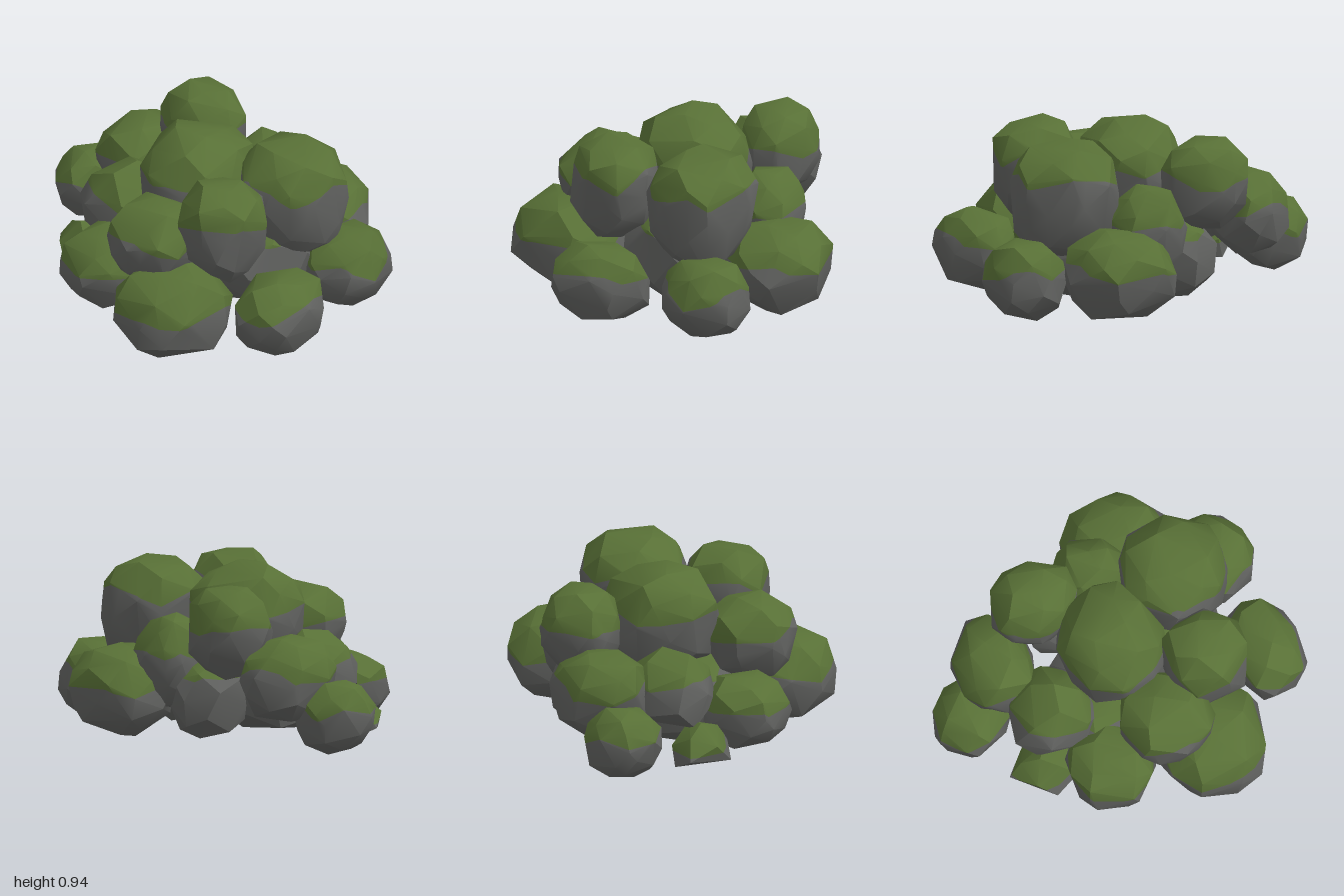
import * as THREE from 'three';
import { toCreasedNormals } from 'three/addons/utils/BufferGeometryUtils.js';
import { ConvexGeometry } from 'three/addons/geometries/ConvexGeometry.js';

const stone = new THREE.MeshStandardMaterial({ color: 0x5f605e });
stone.name = 'stone';
const moss = new THREE.MeshStandardMaterial({ color: 0x587036 });
moss.name = 'moss';

// small seeded random number generator
function seeded(seed) {
  let s = seed * 7919 + 17;
  return () => {
    s = (s * 16807) % 2147483647;
    return s / 2147483647;
  };
}

// jittered points, round in plan and squarer in elevation, that fill the boulder's own box
function hullPoints(min, max, { count, power, taper }, rand) {
  const pts = [];
  const turn = rand() * 6.28;
  for (let i = 0; i < count; i++) {
    const y = 1 - (2 * (i + 0.5)) / count;
    const a = i * 2.39996 + turn + (rand() - 0.5) * 0.5;
    const r = Math.sqrt(1 - y * y);
    const norm = (r ** power + Math.abs(y) ** power) ** (1 / power);
    const p = new THREE.Vector3(r * Math.cos(a), y, r * Math.sin(a));
    p.multiplyScalar((0.95 + rand() * 0.1) / norm);
    p.x *= 1 - taper * p.y;
    p.z *= 1 - taper * p.y;
    pts.push(p);
  }
  const box = new THREE.Box3().setFromPoints(pts);
  const size = box.getSize(new THREE.Vector3());
  const goal = max.clone().sub(min);
  pts.forEach((p) => p.sub(box.min).divide(size).multiply(goal).add(min));
  return pts;
}

// cuts a triangle list along the wavy moss line; keeps one side
function clip(position, height, sign) {
  const out = [];
  for (let i = 0; i < position.count; i += 3) {
    const tri = [0, 1, 2].map((k) => new THREE.Vector3().fromBufferAttribute(position, i + k));
    const side = tri.map((p) => sign * height(p));
    const poly = [];
    for (let k = 0; k < 3; k++) {
      const n = (k + 1) % 3;
      if (side[k] >= 0) poly.push(tri[k]);
      if (side[k] * side[n] < 0) {
        poly.push(tri[k].clone().lerp(tri[n], side[k] / (side[k] - side[n])));
      }
    }
    for (let k = 1; k + 1 < poly.length; k++) {
      for (const p of [poly[0], poly[k], poly[k + 1]]) out.push(p.x, p.y, p.z);
    }
  }
  return out;
}

// one boulder between x0..x1, bottom..top and z0..z1, with moss on its crown
function boulder(name, x0, x1, top, z0, z1, style, seed) {
  const rand = seeded(seed);
  const min = new THREE.Vector3(x0, style.bottom, z0);
  const max = new THREE.Vector3(x1, top, z1);
  const hull = new ConvexGeometry(hullPoints(min, max, style, rand));
  const phase = rand() * 6;
  const height = (p) =>
    p.y - top + style.mossDepth + 0.035 * Math.sin(p.x * 17 + phase) + 0.03 * Math.sin(p.z * 21 - phase);
  const lower = clip(hull.attributes.position, height, -1);
  const upper = clip(hull.attributes.position, height, 1);
  const geometry = new THREE.BufferGeometry();
  geometry.setAttribute('position', new THREE.Float32BufferAttribute([...lower, ...upper], 3));
  geometry.addGroup(0, lower.length / 3, 0);
  geometry.addGroup(lower.length / 3, upper.length / 3, 1);
  const mesh = new THREE.Mesh(toCreasedNormals(geometry, 0.6), [stone, moss]);
  mesh.name = name;
  return mesh;
}

export function createModel() {
  const group = new THREE.Group();
  group.name = 'mossyBoulderPile';
  const add = (name, x0, x1, top, z0, z1, style) =>
    group.add(boulder(name, x0, x1, top, z0, z1, style, group.children.length + 1));

  // ground ring
  const ground = { bottom: 0.03, mossDepth: 0.15, count: 36, power: 2.4, taper: 0 };
  add('backBoulder', 0.01, 0.63, 0.52, -0.89, -0.33, { ...ground, mossDepth: 0.18 });
  add('backLeftBoulder', 0.54, 0.99, 0.45, -0.62, -0.12, ground);
  add('leftBoulder', 0.57, 0.99, 0.46, -0.05, 0.5, ground);
  add('frontBoulder', 0.02, 0.64, 0.48, 0.24, 0.88, { ...ground, bottom: 0, mossDepth: 0.19, count: 30 });
  add('frontRightBoulder', -0.45, 0.02, 0.43, 0.24, 0.73, { ...ground, power: 2.6 });
  add('farRightBoulder', -1.0, -0.57, 0.43, -0.28, 0.14, ground);
  add('rightPebble', -0.72, -0.36, 0.27, 0.15, 0.46, { ...ground, bottom: 0.02, count: 13, power: 2.2, taper: 0.45 });

  // base stones under the pile
  const base = { bottom: 0.04, mossDepth: 0.1, count: 26, power: 2.5, taper: 0 };
  add('backBaseBoulder', -0.32, 0.12, 0.48, -0.59, -0.17, base);
  add('middleBaseBoulder', 0.05, 0.66, 0.56, -0.36, 0.22, base);
  add('frontBaseBoulder', -0.42, 0.28, 0.46, -0.24, 0.42, base);

  // middle layer
  const middle = { bottom: 0.2, mossDepth: 0.17, count: 34, power: 2.4, taper: 0 };
  add('frontMiddleBoulder', -0.14, 0.36, 0.75, 0.2, 0.71, { ...middle, bottom: 0.28, taper: -0.1 });
  add('rightMiddleBoulder', -0.8, -0.36, 0.65, -0.51, 0.02, middle);
  add('backMiddleBoulder', -0.1, 0.3, 0.7, -0.68, -0.28, middle);
  add('pointedBoulder', -0.65, -0.16, 0.62, -0.13, 0.34, { ...middle, count: 20, power: 2, taper: 0.3 });

  // top layer
  const crown = { bottom: 0.35, mossDepth: 0.16, count: 40, power: 2.7, taper: -0.05 };
  add('largeTopBoulder', 0.18, 0.78, 0.92, -0.53, 0.06, { ...crown, bottom: 0.3, count: 50, power: 3 });
  add('frontTopBoulder', 0.19, 0.66, 0.91, 0.04, 0.5, { ...crown, power: 2.5 });
  add('centreTopBoulder', -0.28, 0.29, 0.94, -0.33, 0.31, { ...crown, mossDepth: 0.24, power: 2.5 });
  add('rightTopBoulder', -0.53, -0.04, 0.9, -0.61, -0.18, { ...crown, bottom: 0.4, mossDepth: 0.2, power: 2.4 });
  return group;
}
